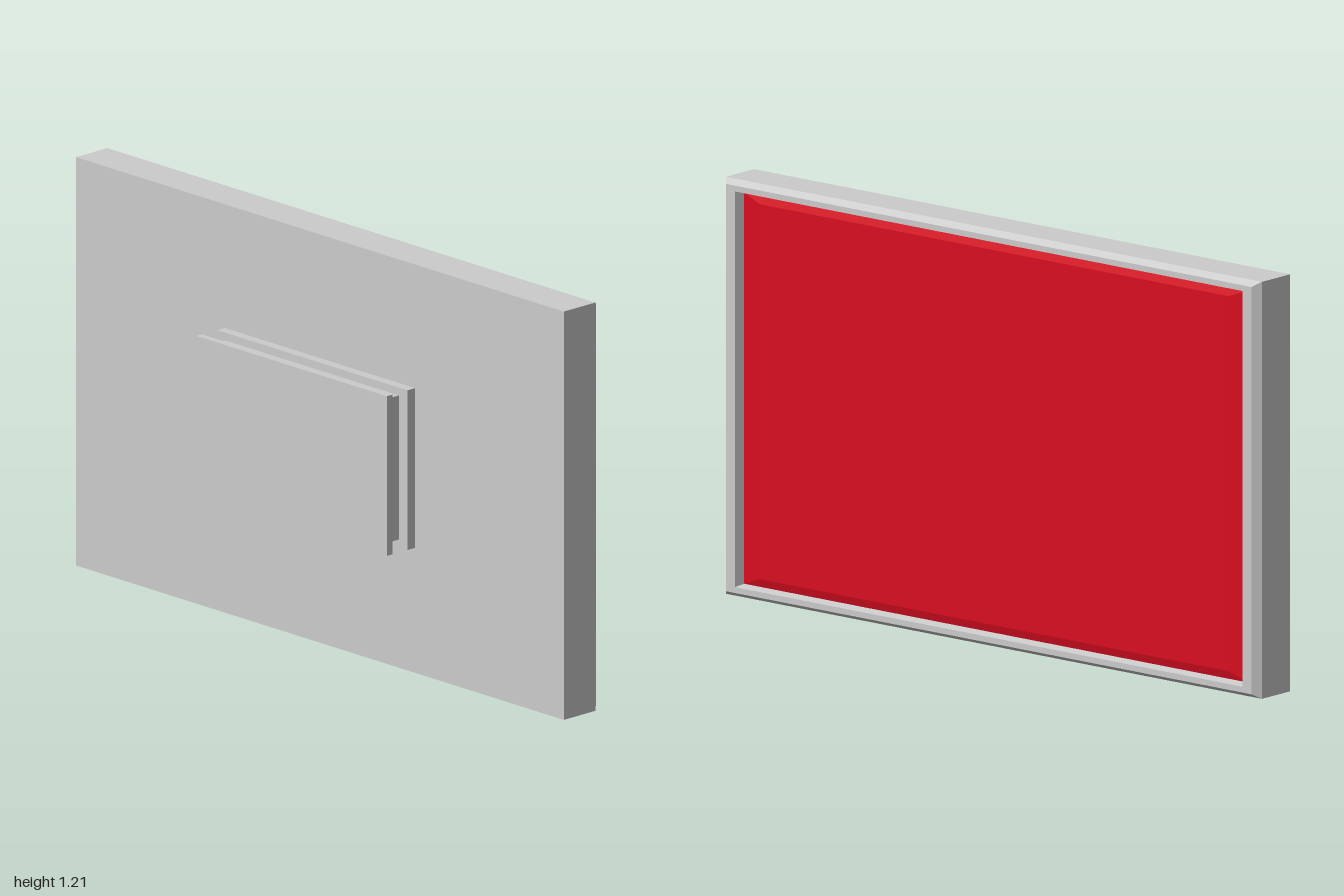
import * as THREE from 'three';

// Loft of rectangles along x; each section is [x, halfHeight, halfWidth]
function rectLoft(sections, startCap = true, endCap = true) {
  const pos = [];
  const rings = sections.map(([x, h, w]) => [[x, -h, w], [x, -h, -w], [x, h, -w], [x, h, w]]);
  const quad = (a, b, c, d) => pos.push(...a, ...b, ...c, ...a, ...c, ...d);
  for (let i = 0; i < rings.length - 1; i++) {
    const a = rings[i], b = rings[i + 1];
    for (let j = 0; j < 4; j++) {
      const k = (j + 1) % 4;
      quad(a[j], a[k], b[k], b[j]);
    }
  }
  const first = rings[0], last = rings[rings.length - 1];
  if (startCap) quad(first[3], first[2], first[1], first[0]);
  if (endCap) quad(...last);
  const geometry = new THREE.BufferGeometry();
  geometry.setAttribute('position', new THREE.Float32BufferAttribute(pos, 3));
  geometry.computeVertexNormals();
  return geometry;
}

export function createModel() {
  const group = new THREE.Group();
  const grey = new THREE.MeshStandardMaterial({ color: 0xcccccc, flatShading: true });
  const red = new THREE.MeshStandardMaterial({ color: 0xd90d20, flatShading: true });

  const add = (name, geometry, material, y = 0.606) => {
    const mesh = new THREE.Mesh(geometry, material);
    mesh.name = name;
    mesh.position.y = y;
    group.add(mesh);
  };

  // Casing: chamfered front rim, then the wall of the recess
  add('casing', rectLoft([
    [-0.02, 0.606, 1], [0.103, 0.606, 1], [0.125, 0.592, 0.98],
    [0.125, 0.575, 0.947], [0.095, 0.569, 0.938],
  ], true, false), grey);

  // Screen: shallow panel with sloping edges, set into the recess
  add('screen', rectLoft([
    [0.095, 0.569, 0.938], [0.102, 0.545, 0.875],
  ], false), red);

  // Wall mount: front plate, neck and chamfered rear plate
  add('mountFrontPlate', rectLoft([[-0.05, 0.237, 0.39], [-0.02, 0.237, 0.39]]), grey, 0.608);
  add('mountNeck', rectLoft([[-0.105, 0.214, 0.355], [-0.045, 0.214, 0.355]]), grey, 0.608);
  add('mountRearPlate', rectLoft([
    [-0.13, 0.237, 0.39], [-0.108, 0.237, 0.39], [-0.1, 0.228, 0.378],
  ]), grey, 0.608);

  return group;
}
